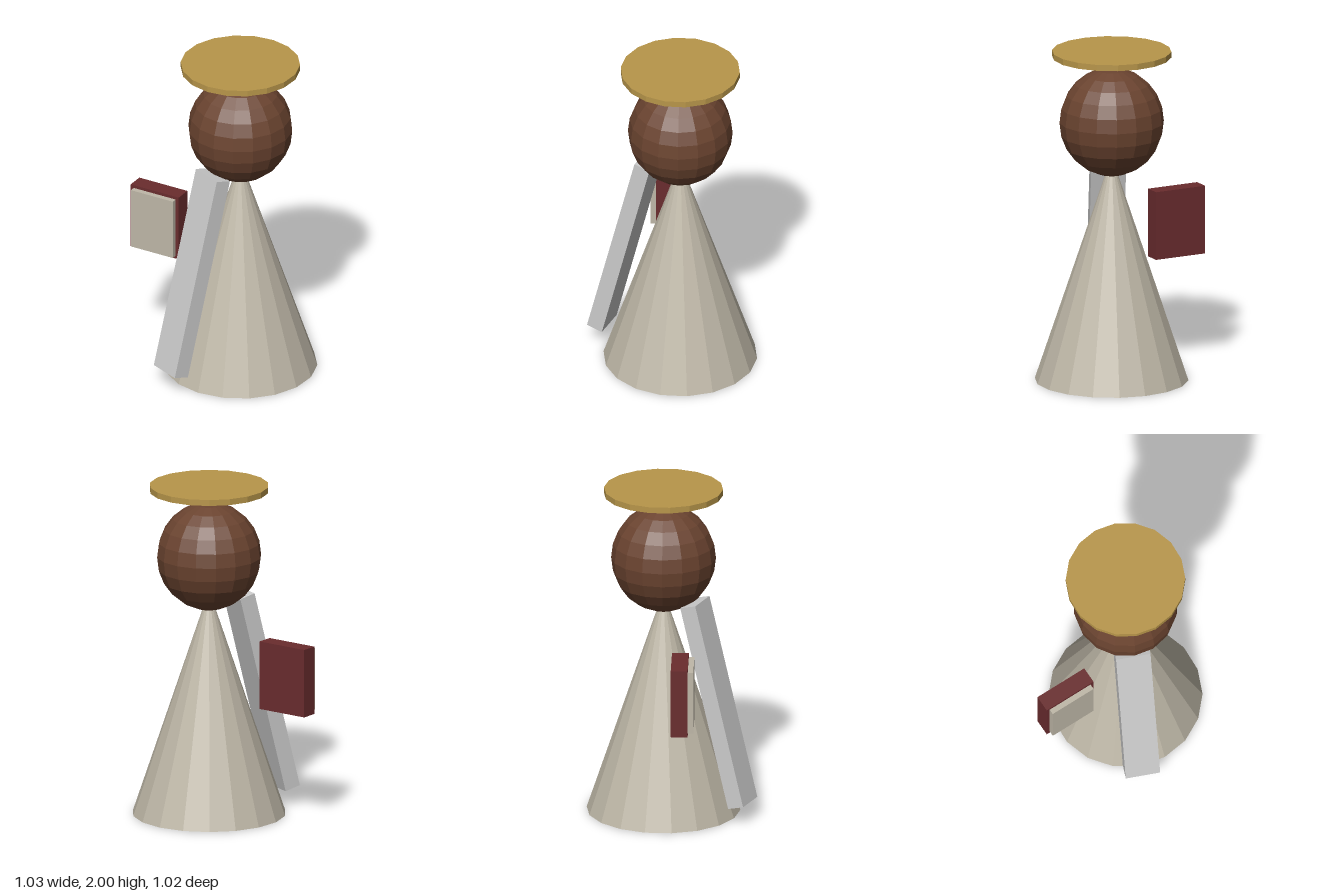
import * as THREE from 'three';

const CX = 0.068, CZ = -0.05; // shared vertical axis of the figure

export function createModel() {
  const group = new THREE.Group();

  const add = (name, geometry, color, x, y, z, parent = group) => {
    const material = new THREE.MeshStandardMaterial({ color, flatShading: true });
    const mesh = new THREE.Mesh(geometry, material);
    mesh.name = name;
    mesh.position.set(x, y, z);
    parent.add(mesh);
    return mesh;
  };

  // Robe: an 18-sided cone whose tip ends inside the head
  add('robe', new THREE.ConeGeometry(0.455, 1.36, 18), 0xbfb8a8, CX, 0.68, CZ);

  // Head: slightly tall faceted ball
  const head = add('head', new THREE.SphereGeometry(0.324, 16, 12), 0x6b4430, CX, 1.568, CZ);
  head.scale.set(0.956, 1, 0.956);

  // Halo: thin disc floating above the head
  add('halo', new THREE.CylinderGeometry(0.353, 0.353, 0.036, 18), 0xb8964a, CX, 1.982, CZ);

  // Stole: plank leaning against the front of the robe
  const stole = add('stole', new THREE.BoxGeometry(0.207, 1.251, 0.1), 0xcccccc, CX, 0.711, 0.307);
  stole.rotation.x = -0.25;

  // Book: cover with a page block standing out of its front
  const book = new THREE.Group();
  book.name = 'book';
  book.position.set(-0.347, 0.879, 0.24);
  book.rotation.y = 0.395;
  group.add(book);
  add('bookCover', new THREE.BoxGeometry(0.33, 0.412, 0.1), 0x6a2c2e, 0, 0, 0, book);
  add('bookPages', new THREE.BoxGeometry(0.288, 0.376, 0.083), 0xbfb8a8, 0, 0, 0.0415, book);

  return group;
}
